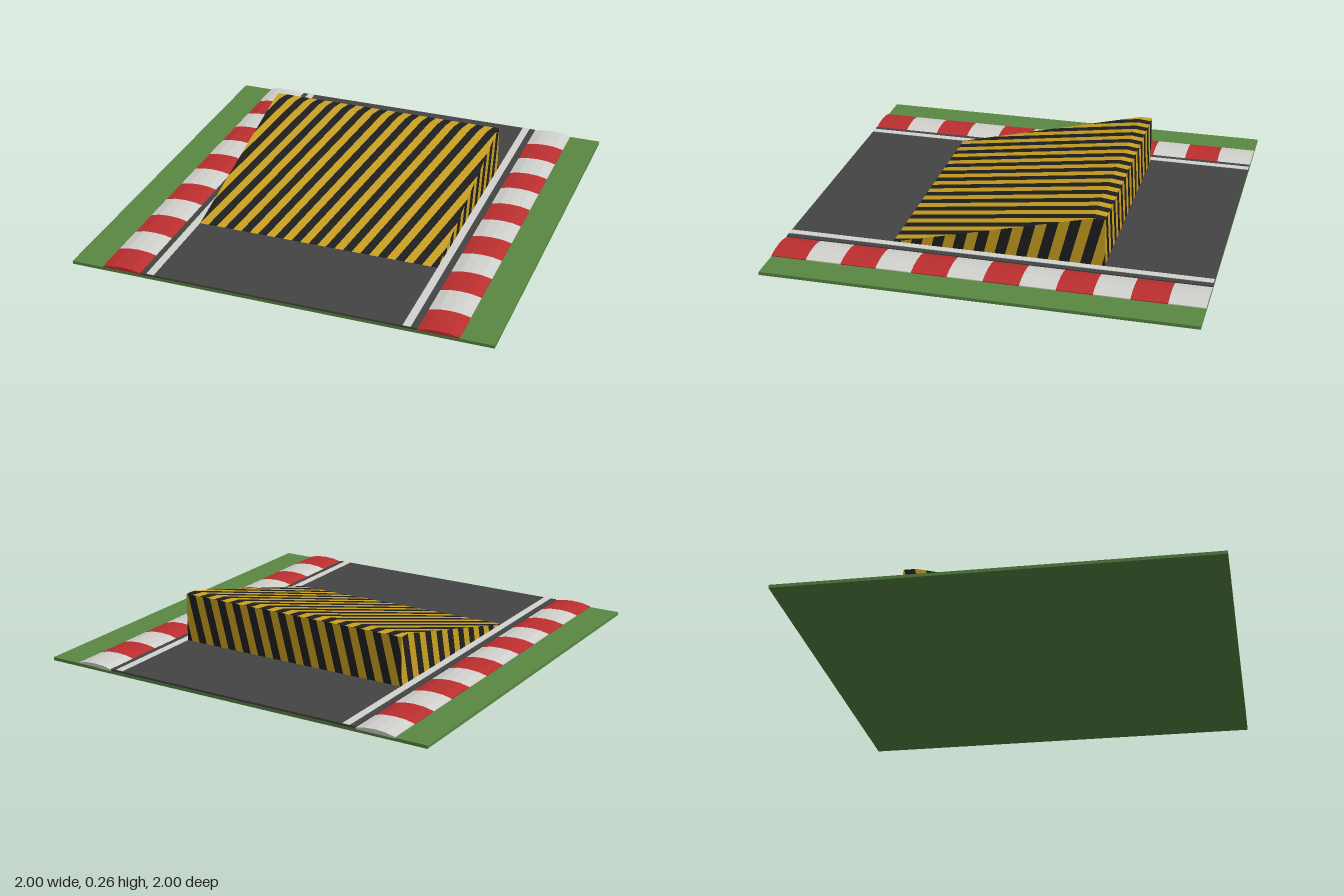
import * as THREE from 'three';

const mat = (name, color) => {
  const m = new THREE.MeshStandardMaterial({ color });
  m.name = name;
  return m;
};

const ROAD_Y = 0.024;   // road surface
const HALF_W = 0.59;    // ramp half width
const TOP_Y = 0.258;    // ramp height
const CREST = 0.44;     // where the slope turns flat (measured towards the back)
const BACK = 0.5;
const LEAN = 0.255;     // sideways drift of the stripes per unit of height

// Keep the part of a convex polygon where sign * (u - LEAN * v - c) >= 0
function clip(poly, c, sign) {
  const d = ([u, v]) => sign * (u - LEAN * v - c);
  const out = [];
  poly.forEach((a, i) => {
    const b = poly[(i + 1) % poly.length];
    const da = d(a), db = d(b);
    if (da >= 0) out.push(a);
    if (da * db < 0) {
      const t = da / (da - db);
      out.push([a[0] + (b[0] - a[0]) * t, a[1] + (b[1] - a[1]) * t]);
    }
  });
  return out;
}

// Cut a flat outline into slanted bands, alternating between two materials
function stripedFace(name, poly, start, period, place, flip, mats) {
  const tris = [[], []];
  const w = period / 2;
  const first = Math.floor((-1.2 - start) / w);
  for (let i = first; start + i * w < 1.2; i++) {
    const band = clip(clip(poly, start + i * w, 1), start + (i + 1) * w, -1);
    const list = tris[Math.abs(i) % 2];
    for (let k = 1; k + 1 < band.length; k++) {
      const corners = flip ? [band[0], band[k + 1], band[k]] : [band[0], band[k], band[k + 1]];
      corners.forEach(([u, v]) => list.push(...place(u, v)));
    }
  }
  const g = new THREE.BufferGeometry();
  g.setAttribute('position', new THREE.Float32BufferAttribute([...tris[0], ...tris[1]], 3));
  g.addGroup(0, tris[0].length / 3, 0);
  g.addGroup(tris[0].length / 3, tris[1].length / 3, 1);
  g.computeVertexNormals();
  const mesh = new THREE.Mesh(g, mats);
  mesh.name = name;
  return mesh;
}

export function createModel() {
  const grass = mat('grass green', 0x598843);
  const asphalt = mat('asphalt grey', 0x444444);
  const white = mat('off white', 0xd2d2ce);
  const red = mat('kerb red', 0xbd2f2f);
  const yellow = mat('warning yellow', 0xcba222);
  const black = mat('warning black', 0x1f1f1f);

  const model = new THREE.Group();
  model.name = 'roadWithRamp';
  const box = (name, w, y0, y1, x, material) => {
    const m = new THREE.Mesh(new THREE.BoxGeometry(w, y1 - y0, 2), material);
    m.position.set(x, (y0 + y1) / 2, 0);
    m.name = name;
    model.add(m);
  };

  // Ground and road
  box('grassBase', 2, 0, 0.015, 0, grass);
  box('road', 1.31, 0.015, ROAD_Y, 0, asphalt);

  // Low arched kerb section, extruded along the road
  const section = new THREE.Shape();
  section.moveTo(-0.095, 0.012);
  section.lineTo(0.095, 0.012);
  section.lineTo(0.095, 0.019);
  section.lineTo(0.05, 0.029);
  section.lineTo(0, 0.032);
  section.lineTo(-0.05, 0.029);
  section.lineTo(-0.095, 0.019);
  section.closePath();
  const block = new THREE.ExtrudeGeometry(section, { depth: 1 / 6, bevelEnabled: false });

  for (const side of [-1, 1]) {
    const label = side > 0 ? 'left' : 'right';
    box(label + 'EdgeLine', 0.036, ROAD_Y, ROAD_Y + 0.002, side * 0.608, white);
    const kerb = new THREE.Group();
    kerb.name = label + 'Kerb';
    for (let i = 0; i < 12; i++) {
      const m = new THREE.Mesh(block, i % 2 ? red : white);
      m.position.set(side * 0.75, 0, -1 + i / 6);
      m.name = 'kerbBlock';
      kerb.add(m);
    }
    model.add(kerb);
  }

  // Striped wedge ramp, rising towards the back
  const ramp = new THREE.Group();
  ramp.name = 'ramp';
  const mats = [yellow, black];
  const heightAt = v => ROAD_Y + (TOP_Y - ROAD_Y) * Math.min(1, (v + BACK) / (CREST + BACK));
  const rect = (u, v0, v1) => [[-u, v0], [u, v0], [u, v1], [-u, v1]];
  const onTop = (u, v) => [u, heightAt(v), -v];
  const start = -HALF_W - LEAN * BACK;
  ramp.add(stripedFace('rampSlope', rect(HALF_W, -BACK, CREST), start, 0.085, onTop, false, mats));
  ramp.add(stripedFace('rampCrest', rect(HALF_W, CREST, BACK), start, 0.085, onTop, false, mats));
  ramp.add(stripedFace('rampBack', rect(HALF_W, ROAD_Y, TOP_Y), -HALF_W, 0.085,
    (u, v) => [u, v, -BACK], true, mats));
  const profile = [[-BACK, ROAD_Y], [BACK, ROAD_Y], [BACK, TOP_Y], [CREST, TOP_Y]];
  for (const side of [-1, 1]) {
    ramp.add(stripedFace(side > 0 ? 'rampLeftSide' : 'rampRightSide', profile, 0.43, 0.1,
      (u, v) => [side * HALF_W, v, -u], side < 0, mats));
  }
  model.add(ramp);
  return model;
}
